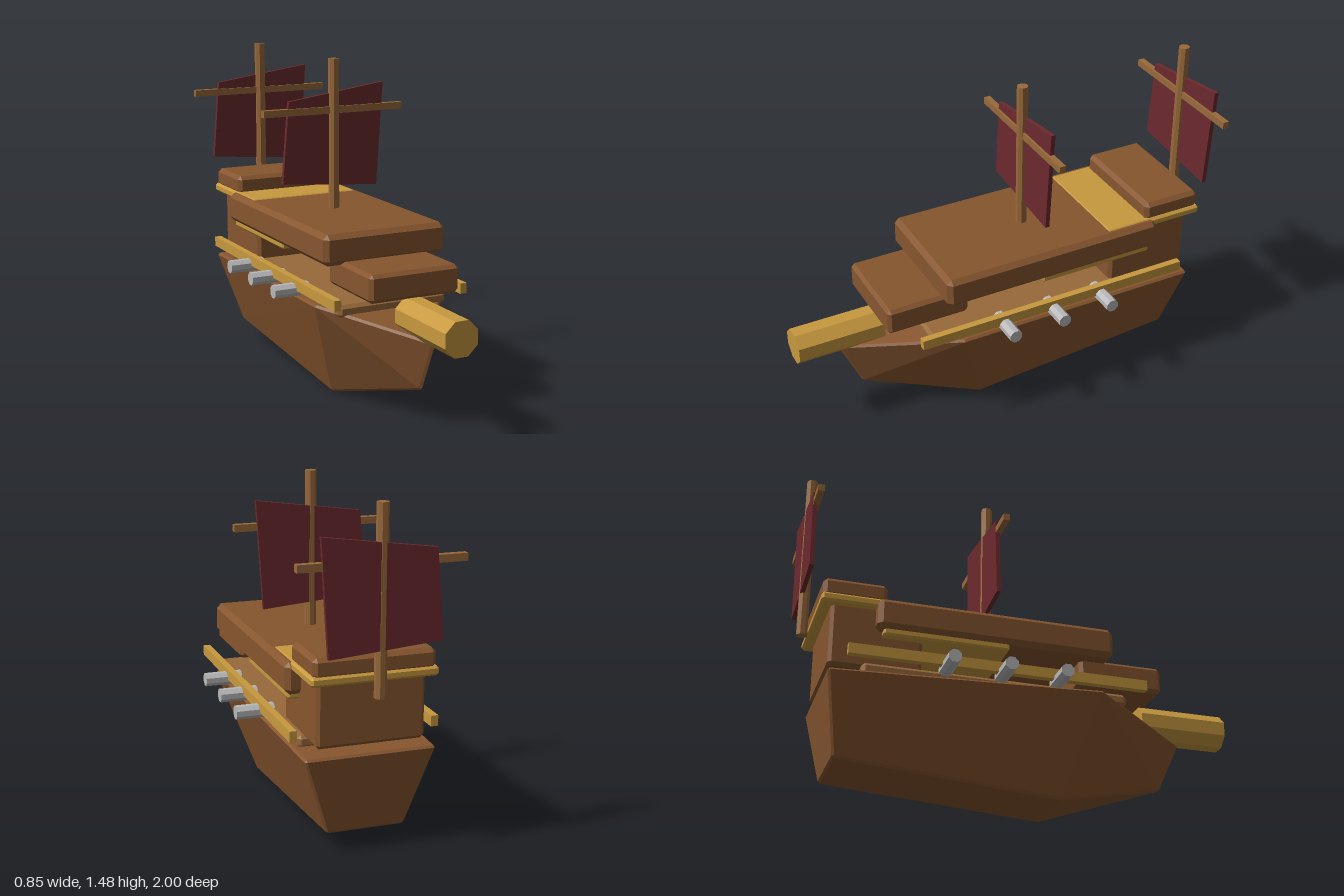
import * as THREE from 'three';
import { ConvexGeometry } from 'three/addons/geometries/ConvexGeometry.js';

const material = (name, color) => {
  const m = new THREE.MeshStandardMaterial({ color });
  m.name = name;
  return m;
};

export function createModel() {
  const ship = new THREE.Group();
  ship.name = 'sailingShip';

  const plank = material('brown planks', 0x87562f);
  const timber = material('light timber', 0x98693b);
  const gold = material('gold trim', 0xc8993f);
  const cloth = material('dark red cloth', 0x6c2a2e);
  const metal = material('grey metal', 0xb9b9bb);

  const add = (name, geometry, mat, parent = ship) => {
    const mesh = new THREE.Mesh(geometry, mat);
    mesh.name = name;
    parent.add(mesh);
    return mesh;
  };

  // Flat-faced convex solid whose corners are chamfered by e
  const chamfered = (corners, e) => {
    const pts = [];
    for (const [x, y, z] of corners) {
      for (const s of [-e, e]) {
        pts.push(new THREE.Vector3(x + s, y, z), new THREE.Vector3(x, y + s, z), new THREE.Vector3(x, y, z + s));
      }
    }
    return new ConvexGeometry(pts);
  };

  // Chamfered block centred on x, from its half width and its y and z ranges
  const block = (name, mat, hw, y0, y1, z0, z1, e) => {
    const corners = [];
    for (const x of [-hw + e, hw - e])
      for (const y of [y0 + e, y1 - e])
        for (const z of [z0 + e, z1 - e]) corners.push([x, y, z]);
    return add(name, chamfered(corners, e), mat);
  };

  const bar = (name, mat, w, h, d, x, y, z, parent) => {
    const mesh = add(name, new THREE.BoxGeometry(w, h, d), mat, parent);
    mesh.position.set(x, y, z);
    return mesh;
  };

  // Faceted cylinder with a flat side facing up
  const rod = (r, length) => {
    const g = new THREE.CylinderGeometry(r, r, length, 8).toNonIndexed();
    g.rotateY(Math.PI / 8);
    g.computeVertexNormals();
    return g;
  };

  // Hull: pointed bow, widest forward of the middle, sloping stern
  const hull = [[0, 0.375, 0.78], [0, 0.155, 0.68]];
  for (const s of [-1, 1]) {
    hull.push([s * 0.31, 0.457, 0.31], [s * 0.155, 0.01, 0.16]);
    hull.push([s * 0.275, 0.425, -0.885], [s * 0.165, 0.09, -0.83]);
  }
  add('hull', chamfered(hull, 0.01), plank);

  // Decks and cabins
  block('lowerDeck', timber, 0.265, 0.43, 0.487, -0.75, 0.44, 0.015);
  block('foreDeck', plank, 0.217, 0.535, 0.66, 0.24, 0.63, 0.016);
  block('mainDeck', plank, 0.3, 0.645, 0.785, -0.695, 0.375, 0.022);
  block('mainDeckTrim', gold, 0.28, 0.62, 0.66, -0.665, -0.105, 0.008);
  block('sternCabin', plank, 0.235, 0.47, 0.775, -0.89, -0.485, 0.015);
  block('poopTrim', gold, 0.274, 0.748, 0.789, -0.937, -0.445, 0.01);
  block('poopDeck', plank, 0.263, 0.775, 0.865, -0.932, -0.65, 0.018);

  // Bowsprit
  const bowsprit = add('bowsprit', rod(0.083, 0.41), gold);
  bowsprit.rotation.x = Math.PI / 2;
  bowsprit.position.set(0, 0.46, 0.795);

  // Rails and cannons on both sides
  for (const s of [-1, 1]) {
    const side = s > 0 ? 'left' : 'right';
    bar(side + 'Rail', gold, 0.032, 0.047, 1.335, s * 0.31, 0.514, -0.153);
    for (const z of [0.11, -0.14, -0.388]) {
      const cannon = add(side + 'Cannon', rod(0.031, 0.17), metal);
      cannon.rotation.z = Math.PI / 2;
      cannon.position.set(s * 0.342, 0.491, z);
    }
  }

  // Masts, each with a crossbar and a skewed sail
  const sailShape = new THREE.Shape([
    [-0.257, 0.915], [0.225, 0.875], [0.257, 1.36], [-0.225, 1.292],
  ].map(([x, y]) => new THREE.Vector2(x, y)));
  const sailGeometry = new THREE.ExtrudeGeometry(sailShape, { depth: 0.02, bevelEnabled: false });

  for (const [name, z, base] of [['main', -0.138, 0.77], ['stern', -0.976, 0.695]]) {
    const rig = new THREE.Group();
    rig.name = name + 'Rig';
    rig.position.z = z;
    ship.add(rig);
    add(name + 'Mast', rod(0.0255, 1.48 - base), timber, rig).position.y = (1.48 + base) / 2;
    bar(name + 'Yard', timber, 0.708, 0.032, 0.03, 0, 1.244, -0.006, rig);
    add(name + 'Sail', sailGeometry, cloth, rig).position.z = -0.022;
  }

  return ship;
}
